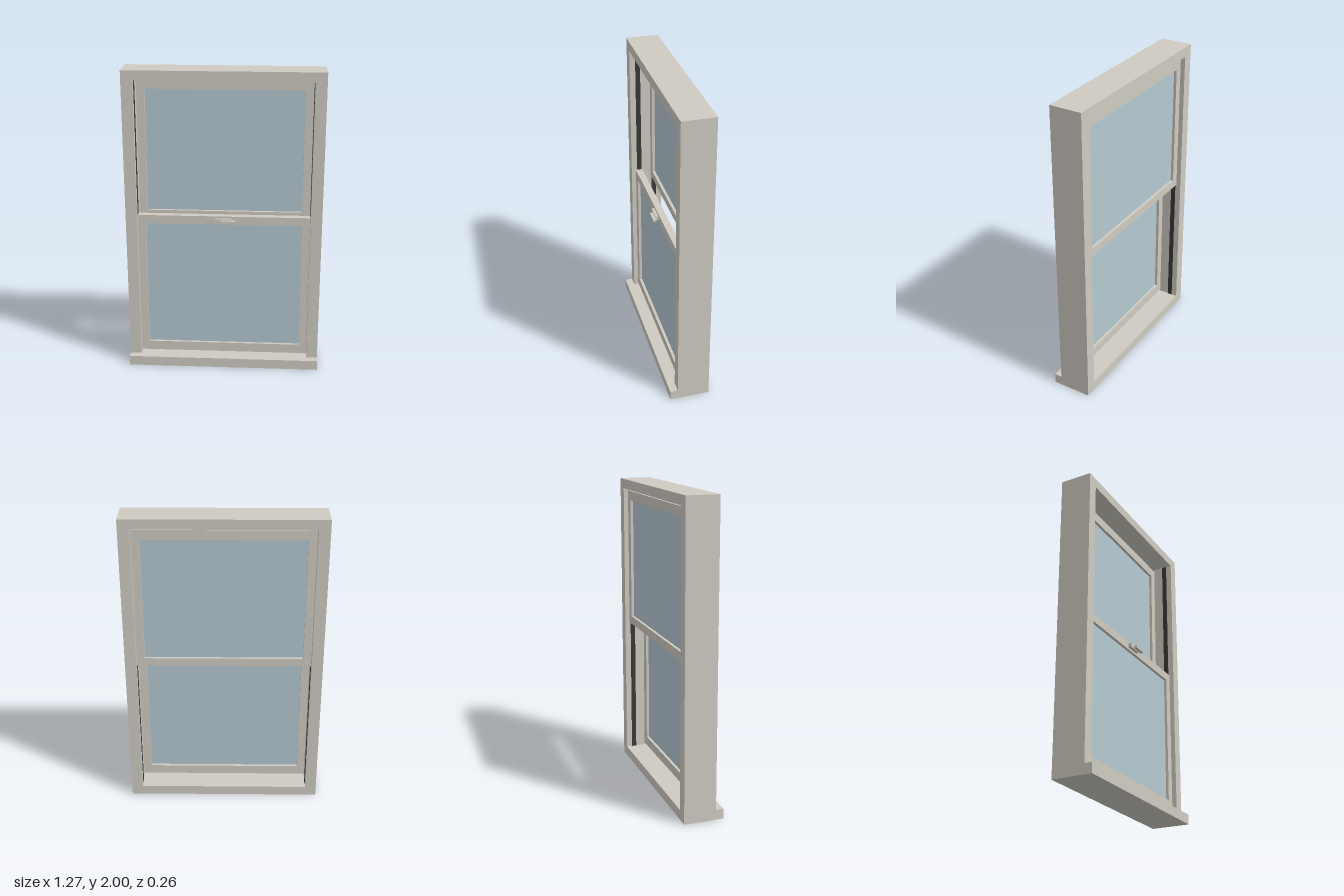
import * as THREE from 'three';

const mat = (name, color) => {
  const m = new THREE.MeshStandardMaterial({ color });
  m.name = name;
  return m;
};

// Box given by its limits on each axis
function block(parent, name, material, [x0, x1], [y0, y1], [z0, z1]) {
  const mesh = new THREE.Mesh(new THREE.BoxGeometry(x1 - x0, y1 - y0, z1 - z0), material);
  mesh.position.set((x0 + x1) / 2, (y0 + y1) / 2, (z0 + z1) / 2);
  mesh.name = name;
  parent.add(mesh);
}

// Rectangular ring extruded along z; outer and inner are [halfWidth, bottom, top]
function ring(parent, name, material, outer, inner, [z0, z1]) {
  const corners = ([w, b, t]) => [[-w, b], [w, b], [w, t], [-w, t]].map(([x, y]) => new THREE.Vector2(x, y));
  const shape = new THREE.Shape(corners(outer));
  shape.holes.push(new THREE.Path(corners(inner).reverse()));
  const geo = new THREE.ExtrudeGeometry(shape, { depth: z1 - z0, bevelEnabled: false });
  const mesh = new THREE.Mesh(geo, material);
  mesh.position.z = z0;
  mesh.name = name;
  parent.add(mesh);
}

export function createModel() {
  const paint = mat('warm grey paint', 0xcfcbc2);
  const glass = mat('blue glass', 0xb5c9d1);
  const dark = mat('dark track', 0x3a3936);
  const root = new THREE.Group();
  root.name = 'sashWindow';

  // Fixed frame and projecting sill
  ring(root, 'frame', paint, [0.633, 0, 2], [0.56, 0.065, 1.937], [-0.13, 0.08]);
  block(root, 'sillNose', paint, [-0.633, 0.633], [0, 0.065], [0.08, 0.13]);

  // Sliding sashes, each with its pane
  const sashes = [
    ['upperSash', [0.559, 1.0, 1.923], [0.507, 1.055, 1.861], [-0.1, -0.055]],
    ['lowerSash', [0.559, 0.08, 1.055], [0.507, 1.0 - 0.857, 1.0], [0.005, 0.05]],
  ];
  for (const [name, outer, inner, z] of sashes) {
    const sash = new THREE.Group();
    sash.name = name;
    ring(sash, name + 'Rails', paint, outer, inner, z);
    const mid = (z[0] + z[1]) / 2;
    block(sash, name + 'Glass', glass, [-inner[0], inner[0]], [inner[1], inner[2]], [mid - 0.004, mid + 0.004]);
    root.add(sash);
  }

  // Dark running tracks on the inner faces of both jambs
  for (const side of [-1, 1]) {
    const x = [side * 0.558, side * 0.562].sort((a, b) => a - b);
    block(root, 'lowerTrack', dark, x, [1.055, 1.937], [0.01, 0.042]);
    block(root, 'upperTrack', dark, x, [0.065, 1.0], [-0.092, -0.06]);
  }

  // Latch on the meeting rail
  const latch = new THREE.Group();
  latch.name = 'latch';
  block(latch, 'latchBase', paint, [-0.055, 0.05], [1.015, 1.042], [0.05, 0.07]);
  block(latch, 'latchLever', paint, [-0.015, 0.075], [1.02, 1.036], [0.07, 0.092]);
  root.add(latch);

  return root;
}
